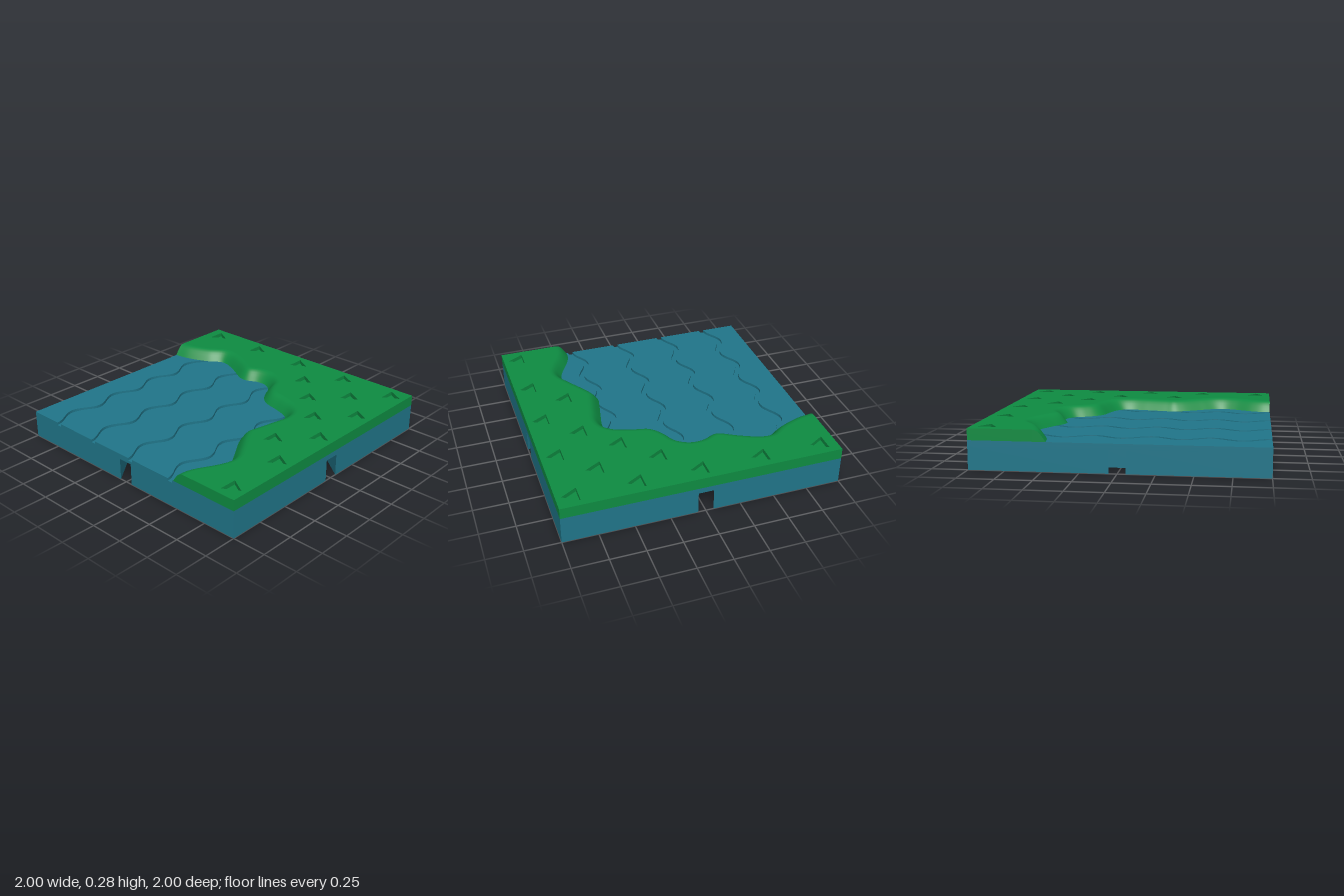
import * as THREE from 'three';

const WATER_TOP = 0.2, LAND_TOP = 0.28, GROOVE = 0.02, RECESS = 0.03;

const waterMat = new THREE.MeshStandardMaterial({ color: 0x20768a });
const landMat = new THREE.MeshStandardMaterial({ color: 0x0e8c42 });
const shoreMat = new THREE.MeshStandardMaterial({ color: 0x0e8c42, side: THREE.DoubleSide });

const v2 = (x, z) => new THREE.Vector2(x, -z); // plan point (x, z) to shape space

// Flat plan shape raised between two heights
function slab(name, points, y0, y1, material, holes = []) {
  const shape = new THREE.Shape(points);
  holes.forEach((h) => shape.holes.push(new THREE.Path(h)));
  const geo = new THREE.ExtrudeGeometry(shape, { depth: y1 - y0, bevelEnabled: false });
  geo.rotateX(-Math.PI / 2).translate(0, y0, 0);
  const mesh = new THREE.Mesh(geo, material);
  mesh.name = name;
  return mesh;
}

// Square outline with a dovetail socket in the middle of every side
function socketOutline() {
  const side = [[1, -0.055], [0.81, -0.2], [0.81, 0.2], [1, 0.055], [1, 1]];
  const pts = [];
  for (let i = 0; i < 4; i++) {
    for (const [x, y] of side) {
      pts.push(new THREE.Vector2(x, y).rotateAround(new THREE.Vector2(), (i * Math.PI) / 2));
    }
  }
  return pts;
}

// Square outline with wavy grooves running in from the x = -1 side
function waveOutline() {
  const pts = [v2(1, -1), v2(-1, -1)];
  const waves = [[-0.76, 0.61], [-0.375, 0.57], [0.01, 0.51], [0.397, 0.22]];
  const steps = 64;
  for (const [centre, end] of waves) {
    const at = (i, off) => {
      const x = -1 + ((end + 1) * i) / steps;
      return v2(x, centre + off - 0.04 * Math.cos((x * Math.PI * 2) / 0.4));
    };
    for (let i = 0; i <= steps; i++) pts.push(at(i, -0.02));
    for (let i = steps; i >= 0; i--) pts.push(at(i, 0.02));
  }
  pts.push(v2(-1, 1), v2(1, 1));
  return pts;
}

// Foot of the bank, with a smoothed direction pointing into the land at each sample
function shoreline() {
  const control = [
    [0.47, -1], [0.49, -0.88], [0.556, -0.71], [0.622, -0.61], [0.62, -0.55], [0.567, -0.425],
    [0.49, -0.28], [0.487, -0.22], [0.525, -0.13], [0.525, -0.05], [0.48, 0.02], [0.4, 0.06],
    [0.326, 0.11], [0.28, 0.17], [0.246, 0.3], [0.21, 0.4], [0.166, 0.45], [0.1, 0.467],
    [-0.02, 0.447], [-0.18, 0.414], [-0.246, 0.404], [-0.316, 0.43], [-0.476, 0.53],
    [-0.58, 0.59], [-0.636, 0.597], [-0.717, 0.57], [-0.85, 0.5], [-0.93, 0.473], [-1, 0.468],
  ].map(([x, z]) => new THREE.Vector3(x, 0, z));
  const curve = new THREE.CatmullRomCurve3(control, false, 'centripetal');
  const n = 160;
  const foot = curve.getSpacedPoints(n);
  const raw = foot.map((_, i) => {
    const t = curve.getTangentAt(i / n);
    return new THREE.Vector3(t.z, 0, -t.x);
  });
  const inward = raw.map((_, i) => {
    const sum = new THREE.Vector3();
    for (let k = -5; k <= 5; k++) {
      sum.addScaledVector(raw[Math.min(n, Math.max(0, i + k))], 6 - Math.abs(k));
    }
    return sum.normalize();
  });
  inward[0].set(1, 0, 0);
  inward[n].set(0, 0, 1);
  return { foot, inward };
}

// Rounded bank swept along the shore, closed at both ends
function bank({ foot, inward }, profile) {
  const rows = foot.map((p, i) => profile.map(([d, y]) => {
    const q = p.clone().addScaledVector(inward[i], d);
    return [Math.max(-1, q.x), y, Math.max(-1, q.z)];
  }));
  const m = profile.length;
  const pos = rows.flat(2), index = [];
  for (let i = 0; i < rows.length - 1; i++) {
    for (let j = 0; j < m - 1; j++) {
      const a = i * m + j, b = a + m;
      index.push(a, a + 1, b, b, a + 1, b + 1);
    }
  }
  [rows[0], rows[rows.length - 1]].forEach((row, e) => {
    const base = pos.length / 3;
    row.forEach((p) => pos.push(...p));
    pos.push(row[m - 1][0], WATER_TOP, row[m - 1][2]);
    for (let j = 1; j < m; j++) {
      index.push(base, ...(e ? [base + j, base + j + 1] : [base + j + 1, base + j]));
    }
  });
  const geo = new THREE.BufferGeometry();
  geo.setAttribute('position', new THREE.Float32BufferAttribute(pos, 3));
  geo.setIndex(index);
  geo.computeVertexNormals();
  const mesh = new THREE.Mesh(geo, shoreMat);
  mesh.name = 'shoreBank';
  return { mesh, rim: rows.map((r) => v2(r[m - 1][0], r[m - 1][2])) };
}

// Triangular recesses on a staggered grid
function triangleHoles() {
  const cells = [
    [4, -4], [4, -2], [4, 0], [4, 2], [4, 4], [3, 1], [3, 3], [2, 2], [2, 4],
    [1, 3], [0, 4], [-1, 3], [-2, 4], [-4, 4],
  ];
  return cells.map(([i, j]) => {
    const x = i * 0.222, z = 0.018 + j * 0.2215;
    return [v2(x - 0.066, z - 0.057), v2(x + 0.066, z - 0.057), v2(x, z + 0.057)];
  });
}

export function createModel() {
  const model = new THREE.Group();
  model.name = 'coastTile';

  // Water block: socketed base, plain middle, grooved surface
  const water = new THREE.Group();
  water.name = 'water';
  const square = [v2(-1, 1), v2(1, 1), v2(1, -1), v2(-1, -1)];
  water.add(
    slab('socketBase', socketOutline(), 0, 0.16, waterMat),
    slab('waterCore', square, 0.16, WATER_TOP - GROOVE, waterMat),
    slab('waveSurface', waveOutline(), WATER_TOP - GROOVE, WATER_TOP, waterMat),
  );

  // Land: rounded bank, solid lower layer, upper layer with recesses
  const land = new THREE.Group();
  land.name = 'land';
  const profile = [[0, 0.2], [0.015, 0.222], [0.03, 0.243], [0.045, 0.26], [0.06, 0.272], [0.075, 0.278], [0.09, LAND_TOP]];
  const { mesh, rim } = bank(shoreline(), profile);
  const outline = [...rim, v2(-1, 1), v2(1, 1), v2(1, -1)];
  land.add(
    mesh,
    slab('landBase', outline, WATER_TOP, LAND_TOP - RECESS, landMat),
    slab('landTop', outline, LAND_TOP - RECESS, LAND_TOP, landMat, triangleHoles()),
  );

  model.add(water, land);
  return model;
}
